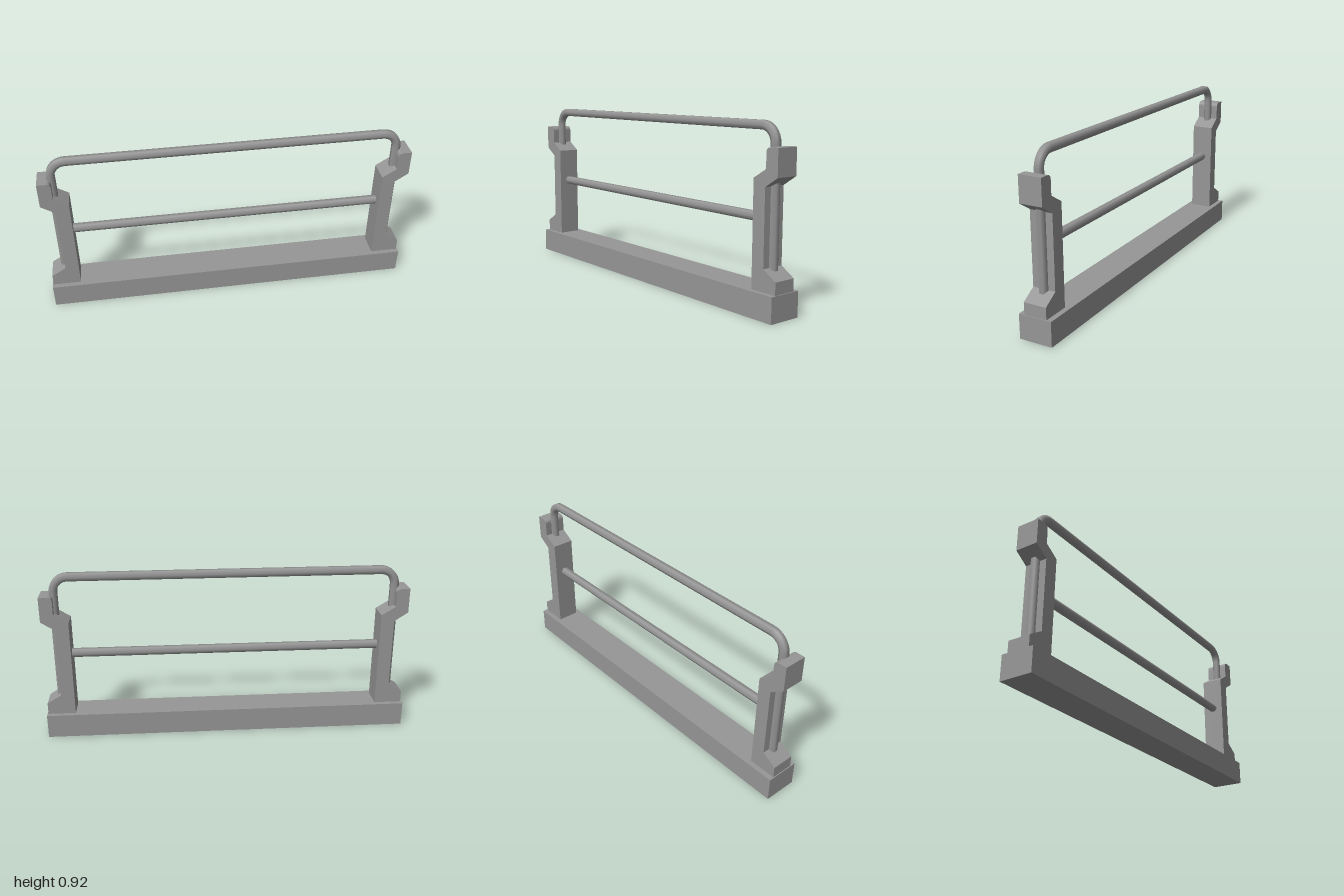
import * as THREE from 'three';

export function createModel() {
  const model = new THREE.Group();
  model.name = 'railing';
  const grey = new THREE.MeshStandardMaterial({ color: 0x969696 });
  grey.name = 'concreteGrey';

  const add = (name, geometry) => {
    const mesh = new THREE.Mesh(geometry, grey);
    mesh.name = name;
    model.add(mesh);
    return mesh;
  };

  // Long plinth
  add('base', new THREE.BoxGeometry(2, 0.13, 0.18)).position.y = 0.065;

  // Notched end post, extruded through its depth
  const shape = new THREE.Shape();
  shape.moveTo(0.845, 0.13);
  shape.lineTo(0.995, 0.13);
  shape.lineTo(0.995, 0.193);
  shape.lineTo(0.918, 0.24);
  shape.lineTo(0.918, 0.622);
  shape.lineTo(0.992, 0.67);
  shape.lineTo(0.992, 0.805);
  shape.lineTo(0.945, 0.805);
  shape.quadraticCurveTo(0.921, 0.803, 0.921, 0.78);
  shape.lineTo(0.921, 0.705);
  shape.lineTo(0.845, 0.658);
  shape.closePath();
  const depth = 0.124;
  const postGeometry = new THREE.ExtrudeGeometry(shape, { depth, bevelEnabled: false, curveSegments: 5 });
  postGeometry.translate(0, 0, -depth / 2);
  add('leftPost', postGeometry);
  add('rightPost', postGeometry).rotation.y = Math.PI;

  // Bent six-sided handrail running down into both posts
  const x = 0.92, top = 0.899, foot = 0.2, r = 0.08, k = r * 0.448;
  const v = (px, py) => new THREE.Vector3(px, py, 0);
  const path = new THREE.CurvePath();
  path.add(new THREE.LineCurve3(v(-x, foot), v(-x, top - r)));
  path.add(new THREE.CubicBezierCurve3(v(-x, top - r), v(-x, top - k), v(-x + k, top), v(-x + r, top)));
  path.add(new THREE.LineCurve3(v(-x + r, top), v(x - r, top)));
  path.add(new THREE.CubicBezierCurve3(v(x - r, top), v(x - k, top), v(x, top - k), v(x, top - r)));
  path.add(new THREE.LineCurve3(v(x, top - r), v(x, foot)));
  add('handrail', new THREE.TubeGeometry(path, 200, 0.025, 6));

  // Straight middle bar
  const bar = new THREE.CylinderGeometry(0.025, 0.025, 1.74, 6);
  bar.rotateZ(Math.PI / 2);
  add('middleBar', bar).position.y = 0.468;

  return model;
}
